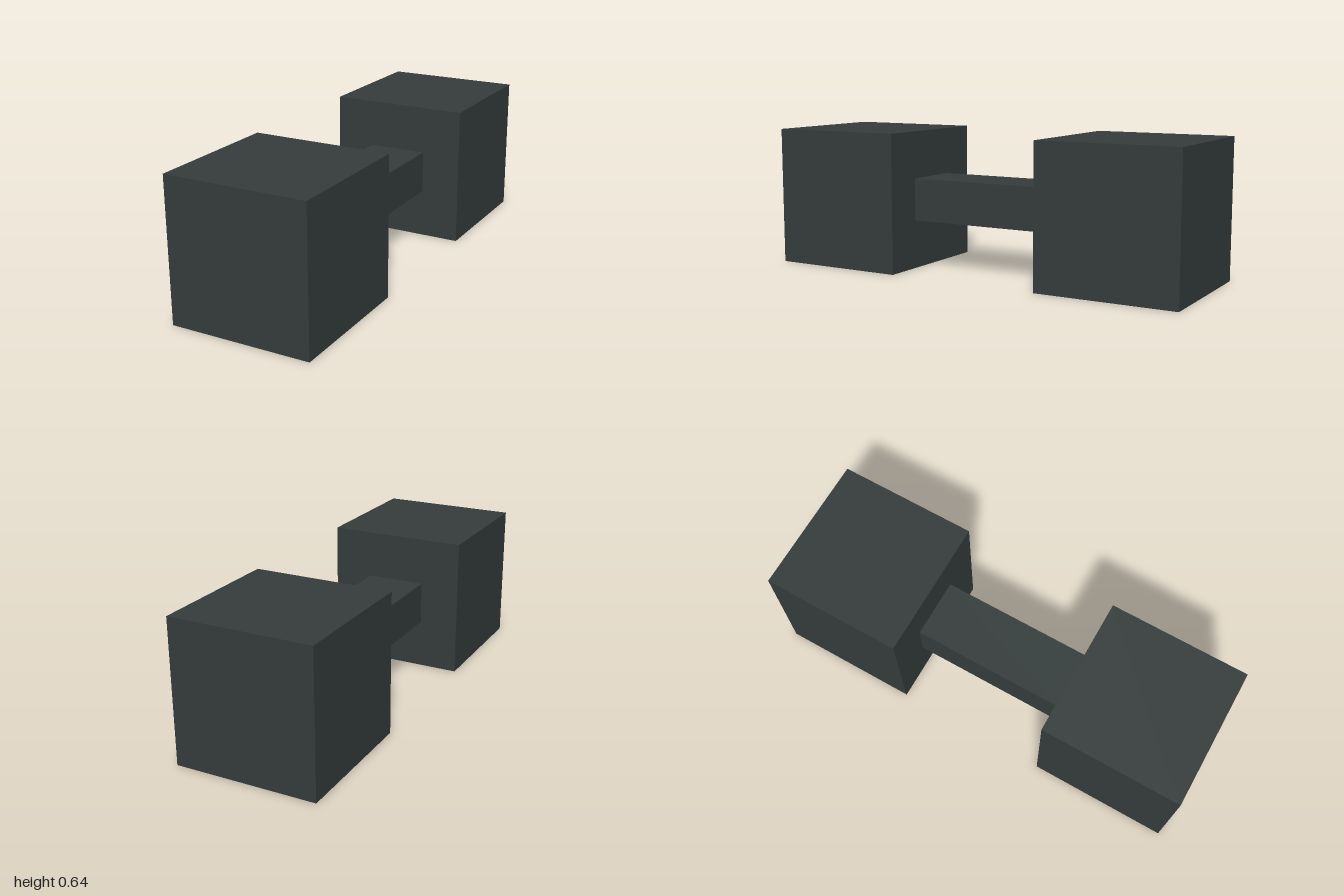
import * as THREE from 'three';

export function createModel() {
  const model = new THREE.Group();
  model.name = 'dumbbell';

  const darkIron = new THREE.MeshStandardMaterial({ color: 0x363d3d });
  darkIron.name = 'dark iron';

  const SIZE = 0.64; // edge of each cube weight
  const INNER = 1 - SIZE; // z of the weights' inner faces

  const addBox = (name, w, h, d, y, z) => {
    const mesh = new THREE.Mesh(new THREE.BoxGeometry(w, h, d), darkIron);
    mesh.name = name;
    mesh.position.set(0, y, z);
    model.add(mesh);
  };

  // cube weights at both ends
  for (const [name, side] of [['frontWeight', 1], ['backWeight', -1]]) {
    addBox(name, SIZE, SIZE, SIZE, SIZE / 2, side * (1 - SIZE / 2));
  }

  // flat rectangular handle between them
  addBox('handle', 0.272, 0.196, INNER * 2, 0.323, 0);

  return model;
}
